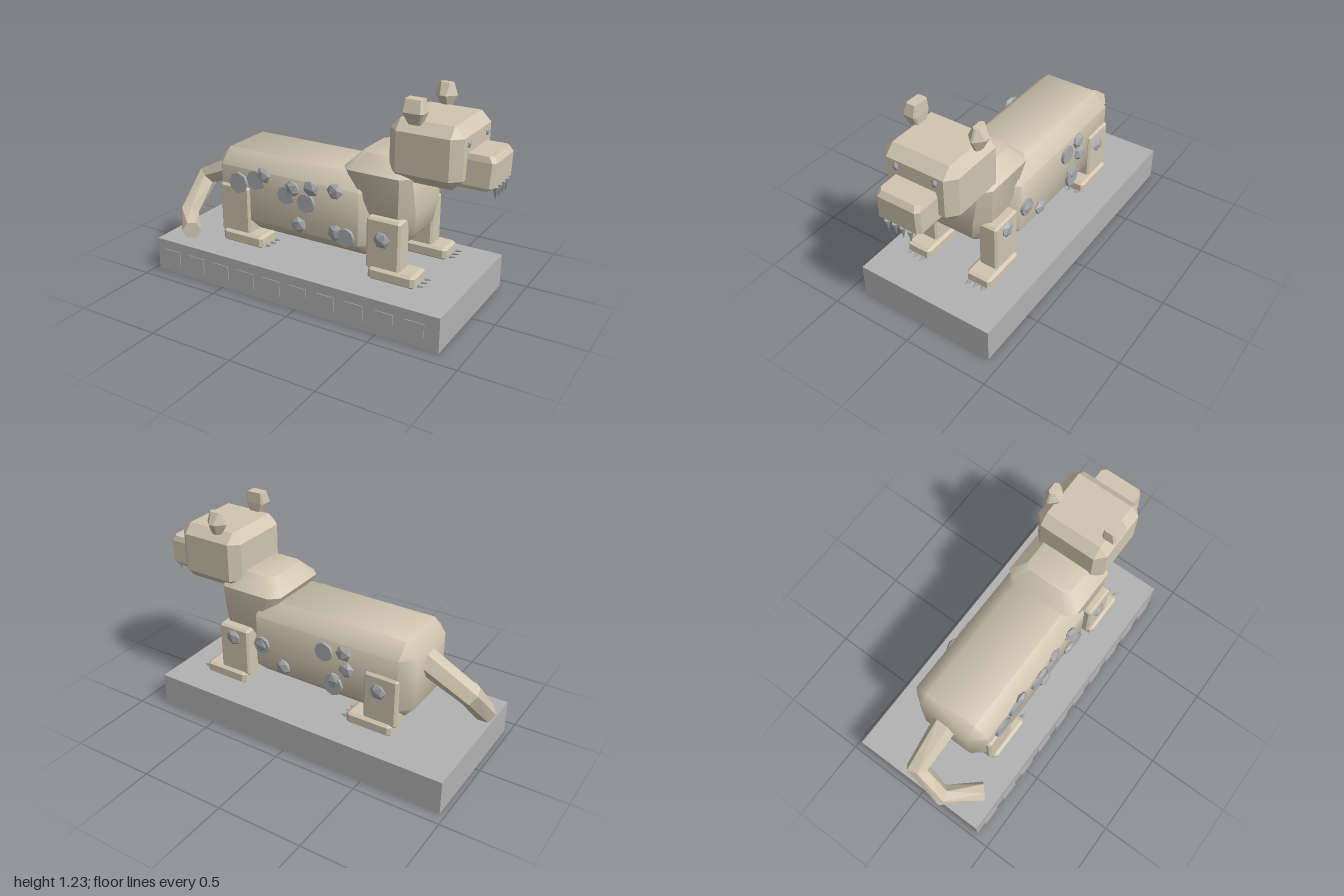
import * as THREE from 'three';
import { toCreasedNormals } from 'three/addons/utils/BufferGeometryUtils.js';
import { ConvexGeometry } from 'three/addons/geometries/ConvexGeometry.js';

const tan = new THREE.MeshStandardMaterial({ color: 0xd0c5b0 });
tan.name = 'sandy hide';
const stone = new THREE.MeshStandardMaterial({ color: 0xb2b2b2 });
stone.name = 'plinth grey';
const steel = new THREE.MeshStandardMaterial({ color: 0xa8aaad });
steel.name = 'spot grey';

const V = (x, y, z) => new THREE.Vector3(x, y, z);

// Box between two corners with chamfered edges; c = chamfer per axis
function chamferBox([x0, y0, z0], [x1, y1, z1], [cx, cy, cz]) {
  const pts = [];
  for (const sx of [0, 1]) for (const sy of [0, 1]) for (const sz of [0, 1]) {
    const x = sx ? x1 : x0, y = sy ? y1 : y0, z = sz ? z1 : z0;
    const ix = sx ? x - cx : x + cx, iy = sy ? y - cy : y + cy, iz = sz ? z - cz : z + cz;
    pts.push(V(x, iy, iz), V(ix, y, iz), V(ix, iy, z));
  }
  return new ConvexGeometry(pts);
}

// Convex solid from horizontal octagonal levels [y, x0, x1, z0, z1, corner]
function levels(list) {
  const pts = [];
  for (const [y, x0, x1, z0, z1, c] of list) {
    for (const [x, dx] of [[x0, c], [x1, -c]]) for (const [z, dz] of [[z0, c], [z1, -c]]) {
      pts.push(V(x + dx, y, z), V(x, y, z + dz));
    }
  }
  return new ConvexGeometry(pts);
}

export function createModel() {
  const model = new THREE.Group();
  const add = (name, geometry, material, x = 0, y = 0, z = 0) => {
    const mesh = new THREE.Mesh(geometry, material);
    mesh.name = name;
    mesh.position.set(x, y, z);
    model.add(mesh);
    return mesh;
  };

  // Plinth with a row of small plates along its front
  add('plinth', new THREE.BoxGeometry(1.83, 0.2, 0.84), stone, -0.055, 0.11, -0.01);
  for (let i = 0; i < 10; i++) {
    add('plinthPlate', new THREE.BoxGeometry(0.112, 0.09, 0.004), stone, -0.85 + i * 0.175, 0.115, 0.424);
  }

  // Trunk and chest
  const body = chamferBox([-0.67, 0.31, -0.25], [0.36, 0.775, 0.235], [0.07, 0.08, 0.085]);
  add('body', toCreasedNormals(body, 1.0), tan);
  const chest = levels([
    [0.895, 0.25, 0.5, -0.15, 0.14, 0.03],
    [0.81, 0.17, 0.57, -0.23, 0.225, 0.05],
    [0.6, 0.27, 0.58, -0.215, 0.21, 0.07],
    [0.47, 0.32, 0.56, -0.18, 0.175, 0.06],
    [0.4, 0.34, 0.5, -0.14, 0.13, 0.05],
  ]);
  add('chest', toCreasedNormals(chest, 0.75), tan);

  // Head, snout, teeth and eyes
  add('head', chamferBox([0.43, 0.79, -0.228], [0.835, 1.12, 0.212], [0.055, 0.055, 0.05]), tan);
  add('snout', levels([
    [0.98, 0.78, 0.965, -0.13, 0.11, 0.02],
    [0.95, 0.78, 0.985, -0.14, 0.12, 0.02],
    [0.82, 0.78, 0.98, -0.14, 0.13, 0.02],
    [0.8, 0.78, 0.95, -0.13, 0.12, 0.02],
  ]), tan);
  for (const z of [0.063, 0.016, -0.031, -0.078]) {
    const tooth = add('tooth', new THREE.ConeGeometry(0.018, 0.07, 6), steel, 0.972, 0.78, z);
    tooth.rotation.x = Math.PI;
  }
  for (const z of [0.107, -0.127]) {
    const eye = add('eye', new THREE.IcosahedronGeometry(0.028, 0), steel, 0.832, 1.03, z);
    eye.scale.set(0.6, 1, 0.75);
  }

  // Ears
  add('leftSideEar', levels([
    [1.235, 0.525, 0.62, 0.145, 0.205, 0.006],
    [1.17, 0.515, 0.635, 0.142, 0.228, 0.012],
    [1.105, 0.545, 0.61, 0.145, 0.2, 0.006],
  ]), tan);
  add('rightSideEar', levels([
    [1.235, 0.535, 0.61, -0.215, -0.18, 0.012],
    [1.17, 0.51, 0.635, -0.246, -0.145, 0.045],
    [1.105, 0.55, 0.605, -0.215, -0.175, 0.012],
  ]), tan);

  // Legs, feet and claws
  for (const [name, x0] of [['hind', -0.61], ['front', 0.345]]) {
    for (const zc of [0.193, -0.208]) {
      const s = Math.sign(zc);
      add(name + 'Leg', chamferBox([x0, 0.29, zc - 0.057], [x0 + 0.2, 0.585, zc + 0.057], [0.012, 0.012, 0.012]), tan);
      const fx = x0 + 0.02;
      add(name + 'Foot', chamferBox([fx, 0.237, zc - 0.077], [fx + 0.275, 0.307, zc + 0.077], [0.02, 0.012, 0.015]), tan);
      for (const dz of [-0.045, 0, 0.045]) {
        const claw = add('claw', new THREE.ConeGeometry(0.011, 0.036, 5), steel, fx + 0.305, 0.258, zc + s * dz);
        claw.rotation.z = -Math.PI / 2;
      }
    }
  }

  // Tail: tapered segments with mitred joints
  const path = [V(-0.62, 0.62, -0.02), V(-0.915, 0.48, -0.02), V(-0.94, 0.285, 0.15), V(-0.78, 0.27, 0.325)];
  const radii = [0.075, 0.065, 0.06, 0.055];
  const rings = path.map((p, i) => {
    const a = path[Math.max(i - 1, 0)], b = path[Math.min(i + 1, 3)];
    const t = p.clone().sub(a).normalize().add(b.clone().sub(p).normalize()).normalize();
    const side = V(0, 0, 1).addScaledVector(t, -t.z).normalize();
    const up = t.clone().cross(side);
    return Array.from({ length: 6 }, (_, k) => {
      const u = k * Math.PI / 3;
      return p.clone().addScaledVector(side, Math.cos(u) * radii[i]).addScaledVector(up, Math.sin(u) * radii[i]);
    });
  });
  for (let i = 0; i < 3; i++) add('tailSegment', new ConvexGeometry([...rings[i], ...rings[i + 1]]), tan);

  // Flat round spots [x, y, radius, side]
  const discs = [
    [-0.48, 0.605, 0.062, 1], [-0.36, 0.645, 0.058, 1], [-0.16, 0.595, 0.052, 1], [-0.03, 0.575, 0.055, 1],
    [0.22, 0.43, 0.052, 1], [-0.16, 0.62, 0.055, -1], [-0.22, 0.43, 0.06, -1], [0.25, 0.53, 0.05, -1],
  ];
  for (const [x, y, r, s] of discs) {
    const disc = add('flatSpot', new THREE.CylinderGeometry(r, r, 0.02, 8), steel, x, y, s > 0 ? 0.243 : -0.258);
    disc.rotation.x = Math.PI / 2;
  }

  // Faceted spots [x, y, side, surface depth]
  const bumps = [
    [-0.31, 0.68, 1, 0.24], [-0.12, 0.64, 1, 0.24], [0, 0.665, 1, 0.24], [0.15, 0.68, 1, 0.24],
    [-0.08, 0.435, 1, 0.24], [0.155, 0.44, 1, 0.24], [0.44, 0.47, 1, 0.25],
    [0.25, 0.53, -1, 0.256], [0.11, 0.43, -1, 0.256], [-0.28, 0.645, -1, 0.256],
    [-0.3, 0.55, -1, 0.256], [-0.22, 0.46, -1, 0.256], [-0.5, 0.49, -1, 0.265], [0.445, 0.52, -1, 0.265],
  ];
  bumps.forEach(([x, y, s, d], i) => {
    const bump = add('facetedSpot', new THREE.IcosahedronGeometry(0.05, 0), steel, x, y, s * d);
    bump.scale.z = 0.45;
    bump.rotation.z = i * 0.7;
  });

  return model;
}
